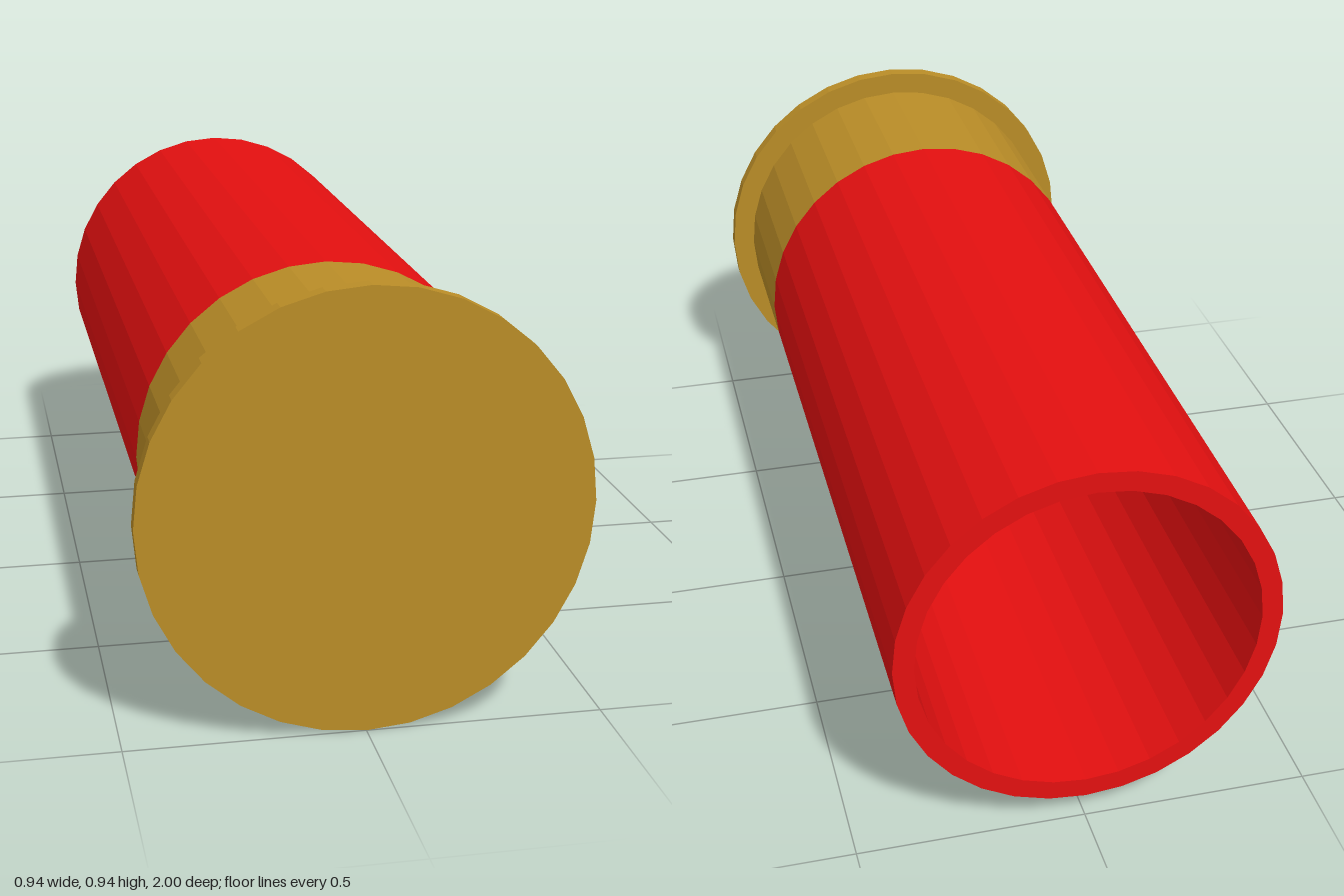
import * as THREE from 'three';

const SIDES = 32;
const TUBE_R = 0.413, BORE_R = 0.368, RIM_R = 0.468;
const SEAM_Z = 0.57, RIM_Z = 0.965;

// Faceted solid of revolution around the z axis; profile points are [radius, z]
function turned(name, profile, material) {
  const points = profile.map(([r, z]) => new THREE.Vector2(r, z));
  const geometry = new THREE.LatheGeometry(points, SIDES).rotateX(Math.PI / 2).toNonIndexed();
  geometry.computeVertexNormals();
  const mesh = new THREE.Mesh(geometry, material);
  mesh.name = name;
  mesh.position.y = RIM_R;
  return mesh;
}

export function createModel() {
  const red = new THREE.MeshStandardMaterial({ color: 0xe41010 });
  red.name = 'red plastic';
  const brass = new THREE.MeshStandardMaterial({ color: 0xba8d27 });
  brass.name = 'brass';

  const group = new THREE.Group();
  group.name = 'cartridge';

  // Hollow tube, open at the back: bore floor, bore wall, lip, outer wall
  group.add(turned('tube', [
    [0, SEAM_Z], [BORE_R, SEAM_Z], [BORE_R, -1], [TUBE_R, -1], [TUBE_R, SEAM_Z],
  ], red));

  // Base cup
  group.add(turned('baseCup', [[TUBE_R, SEAM_Z], [TUBE_R, RIM_Z]], brass));

  // Flanged rim with a flat front face
  group.add(turned('rim', [
    [TUBE_R, RIM_Z], [RIM_R, RIM_Z], [RIM_R, 1], [0, 1],
  ], brass));

  return group;
}
